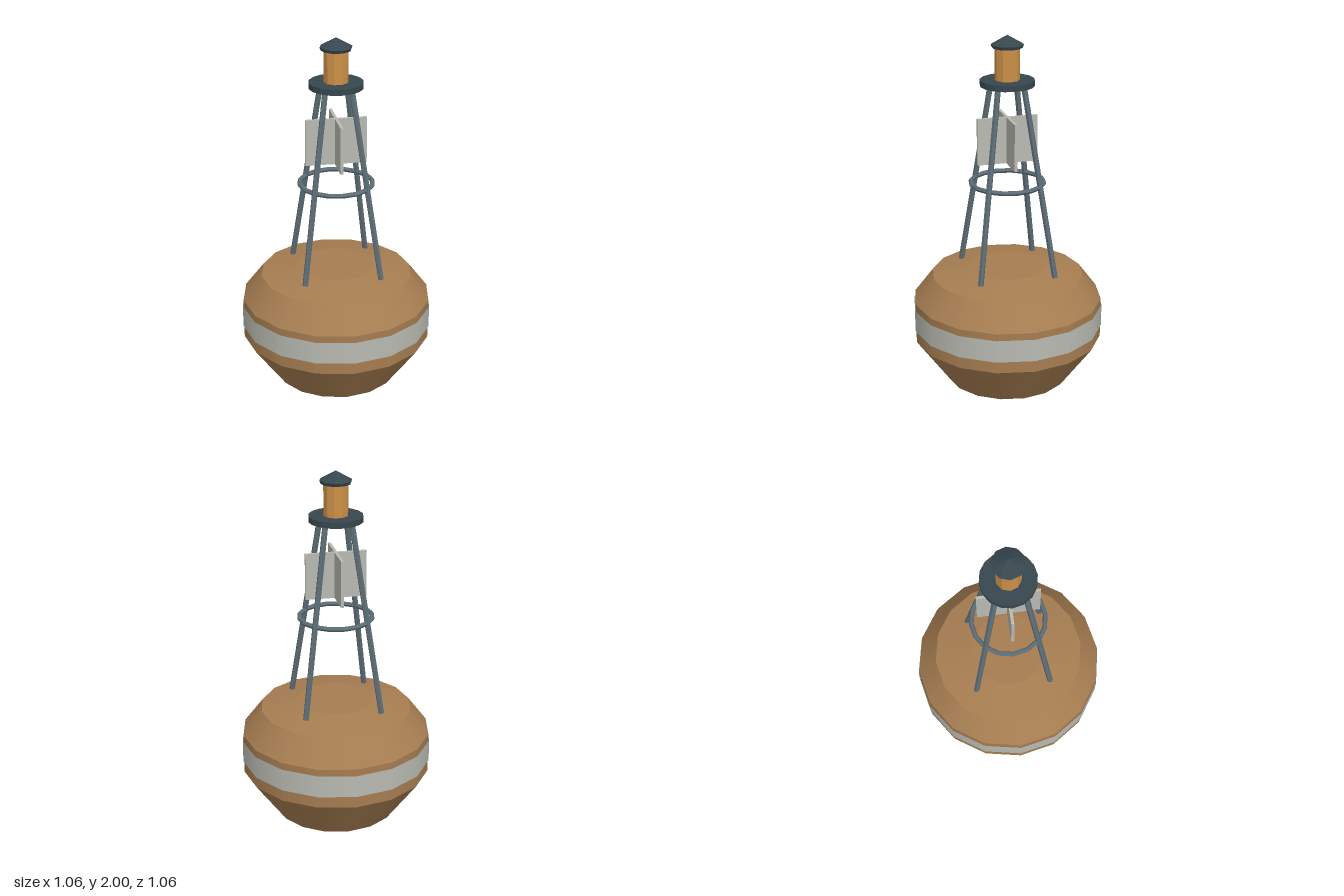
import * as THREE from 'three';

function material(name, color, extra = {}) {
  const m = new THREE.MeshStandardMaterial({ color, ...extra });
  m.name = name;
  return m;
}

export function createModel() {
  const model = new THREE.Group();
  model.name = 'buoy';

  const ochre = material('ochre hull', 0xa67d51);
  const pale = material('pale grey', 0xb9bab2, { side: THREE.DoubleSide });
  const dark = material('dark slate', 0x37474f, { flatShading: true });
  const steel = material('steel', 0x5d6e77, { flatShading: true });
  const amber = material('amber lamp', 0xcc9048, { flatShading: true });

  function add(name, geometry, mat, x = 0, y = 0, z = 0) {
    const mesh = new THREE.Mesh(geometry, mat);
    mesh.name = name;
    mesh.position.set(x, y, z);
    model.add(mesh);
    return mesh;
  }
  const lathe = (points, sides) =>
    new THREE.LatheGeometry(points.map(([r, y]) => new THREE.Vector2(r, y)), sides);

  // Hull: each slope is its own band, so the rims stay crisp
  const profile = [[0, 0], [0.34, 0.04], [0.525, 0.295], [0.525, 0.522], [0.42, 0.66], [0.21, 0.7], [0, 0.7]];
  const parts = ['hullBottom', 'hullLowerSlope', 'hullSide', 'hullUpperSlope', 'hullDeckSlope', 'hullDeck'];
  parts.forEach((name, i) => add(name, lathe([profile[i], profile[i + 1]], 16), ochre));

  // Painted band around the hull
  add('hullBand', new THREE.CylinderGeometry(0.53, 0.53, 0.125, 16, 1, true), pale, 0, 0.423, 0);

  // Four leaning legs
  const up = new THREE.Vector3(0, 1, 0);
  for (const sx of [-1, 1]) {
    for (const sz of [-1, 1]) {
      const foot = new THREE.Vector3(sx * 0.21, 0.685, sz * 0.21);
      const head = new THREE.Vector3(sx * 0.07, 1.74, sz * 0.07);
      const axis = head.clone().sub(foot);
      const leg = add('leg', new THREE.CylinderGeometry(0.016, 0.016, axis.length(), 6), steel);
      leg.position.copy(foot).add(head).multiplyScalar(0.5);
      leg.quaternion.setFromUnitVectors(up, axis.normalize());
    }
  }

  // Brace ring
  add('braceRing', new THREE.TorusGeometry(0.2, 0.013, 6, 16), steel, 0, 1.19, 0).rotation.x = Math.PI / 2;

  // Crossed reflector plates
  for (const turn of [0, Math.PI / 2]) {
    add('reflectorPlate', new THREE.BoxGeometry(0.335, 0.257, 0.016), pale, 0, 1.428, 0).rotation.y = turn;
  }

  // Platform, lamp and lamp cap
  add('platform', new THREE.CylinderGeometry(0.147, 0.147, 0.032, 16), dark, 0, 1.745, 0);
  add('lamp', new THREE.CylinderGeometry(0.067, 0.067, 0.18, 10), amber, 0, 1.85, 0).rotation.y = Math.PI / 2;
  add('lampCap', lathe([[0, 1.933], [0.081, 1.933], [0.088, 1.95], [0, 2]], 10), dark).rotation.y = Math.PI / 2;

  return model;
}
